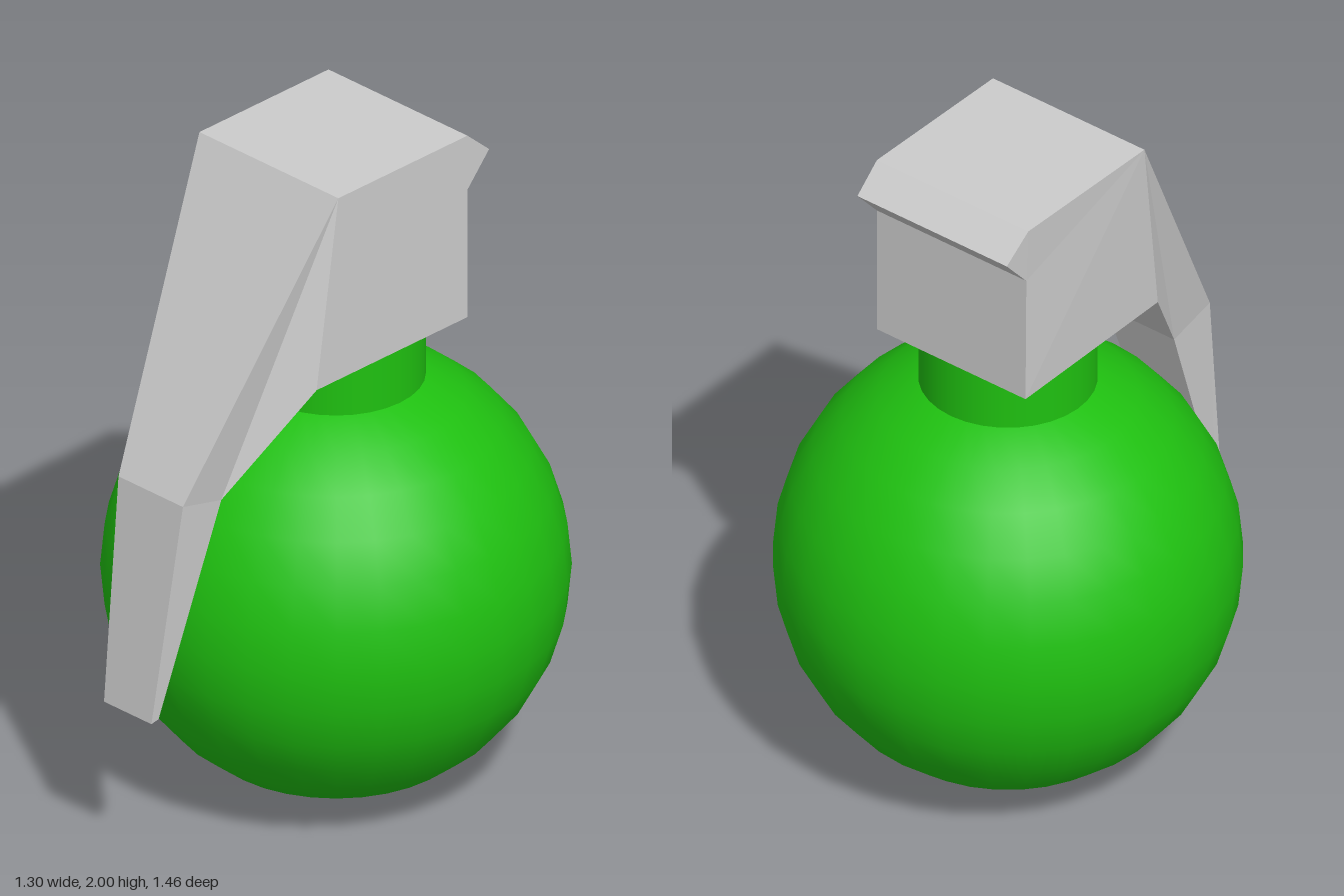
import * as THREE from 'three';

const green = new THREE.MeshStandardMaterial({ color: 0x1fc010 });
const grey = new THREE.MeshStandardMaterial({ color: 0xcccccc, flatShading: true });

// Side profile of the cap and lever: [z, y, left edge x, right edge x]
const PROFILE = [
  [0.175, 2.0, 0.262, -0.277],   // 0 front top
  [-0.33, 2.0, 0.262, -0.277],   // 1 back top
  [-0.415, 1.925, 0.262, -0.27], // 2 hook tip
  [-0.33, 1.83, 0.262, -0.27],   // 3 under hook
  [-0.33, 1.43, 0.262, -0.267],  // 4 back bottom
  [0.26, 1.43, 0.262, -0.255],   // 5 front bottom
  [0.49, 1.12, 0.12, -0.125],    // 6 inner elbow
  [0.707, 0.505, 0.092, -0.092], // 7 inner tip
  [0.735, 0.5, 0.092, -0.092],   // 8 outer tip
  [0.645, 1.16, 0.125, -0.125],  // 9 outer elbow
];

// Triangles that fill the profile
const FILL = [[1, 2, 3], [0, 1, 3], [0, 3, 4], [0, 4, 5], [0, 5, 6], [0, 6, 9], [9, 6, 7], [9, 7, 8]];

function leverGeometry() {
  const n = PROFILE.length;
  const positions = [];
  for (const [z, y, , xMin] of PROFILE) positions.push(xMin, y, z);
  for (const [z, y, xMax] of PROFILE) positions.push(xMax, y, z);

  const index = [];
  // Rim around the profile
  for (let i = 0; i < n; i++) {
    const j = (i + 1) % n;
    index.push(i, n + i, n + j, i, n + j, j);
  }
  // Two side walls
  for (const [a, b, c] of FILL) {
    index.push(a, b, c, n + c, n + b, n + a);
  }

  const geometry = new THREE.BufferGeometry();
  geometry.setAttribute('position', new THREE.Float32BufferAttribute(positions, 3));
  geometry.setIndex(index);
  const flat = geometry.toNonIndexed();
  flat.computeVertexNormals();
  return flat;
}

function addPart(group, name, geometry, material, x = 0, y = 0, z = 0) {
  const mesh = new THREE.Mesh(geometry, material);
  mesh.name = name;
  mesh.position.set(x, y, z);
  group.add(mesh);
}

export function createModel() {
  const group = new THREE.Group();
  group.name = 'grenade';

  // Round body and the neck that carries the cap
  addPart(group, 'body', new THREE.SphereGeometry(0.65, 32, 16), green, 0, 0.652, -0.08);
  addPart(group, 'neck', new THREE.CylinderGeometry(0.248, 0.248, 0.23, 32), green, 0, 1.32, -0.08);

  // Cap with back hook and tapering lever
  addPart(group, 'capAndLever', leverGeometry(), grey);

  return group;
}
